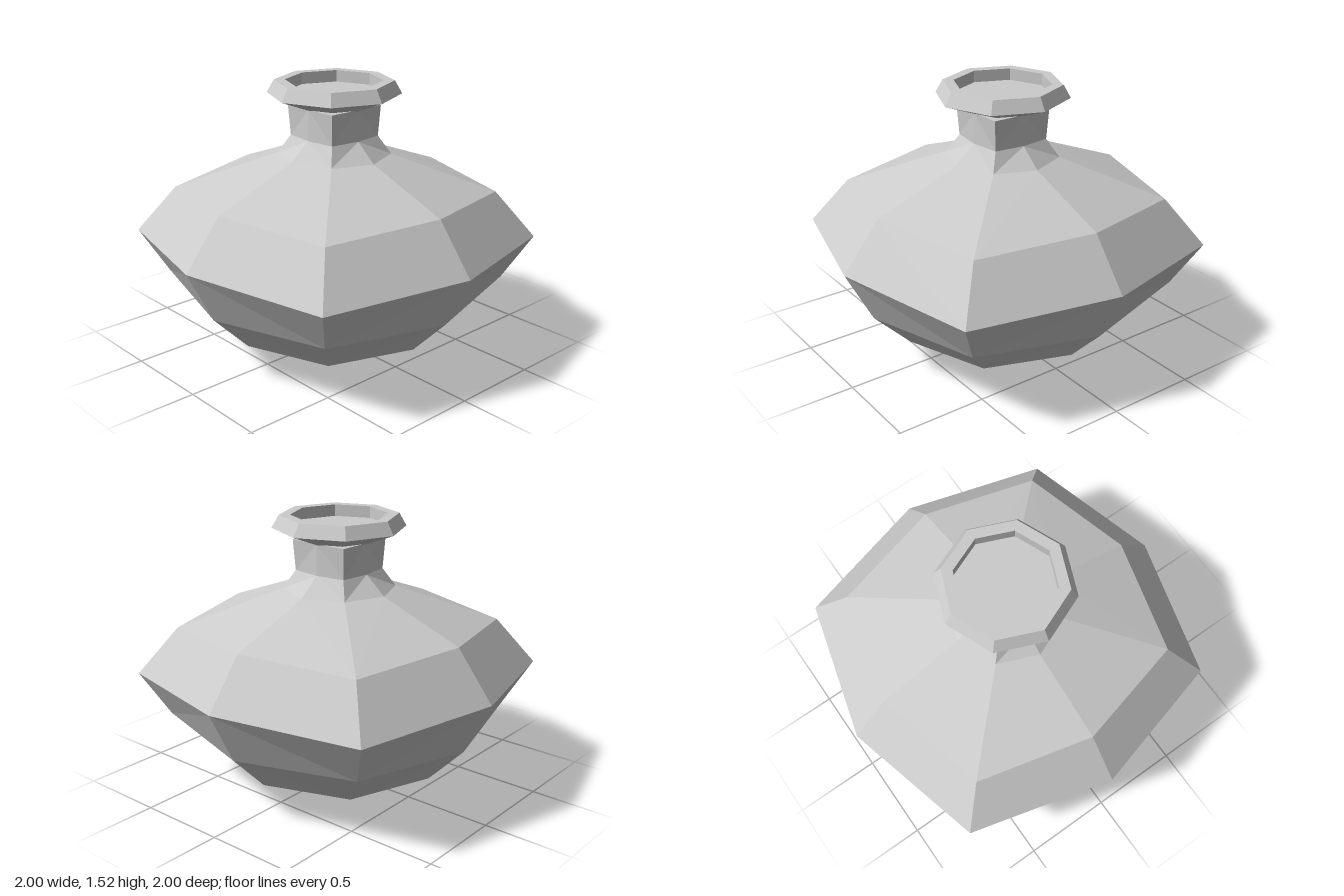
import * as THREE from 'three';

const SIDES = 8;

// One eight-point ring: [radius on the axes, height there, x = z of the corners, height there]
function ringPoints([r, y, c, cy]) {
  return Array.from({ length: SIDES }, (_, j) => {
    const a = (j * Math.PI) / 4;
    const corner = j % 2 === 1;
    const radius = corner ? c * Math.SQRT2 : r;
    return new THREE.Vector3(Math.sin(a) * radius, corner ? cy : y, Math.cos(a) * radius);
  });
}

// Skin the rings from first to last and close both ends
function loft(name, sections, material) {
  const rings = sections.map(ringPoints);
  const points = [];
  const tri = (...p) => points.push(...p);
  for (let i = 0; i < rings.length - 1; i++) {
    for (let j = 0; j < SIDES; j++) {
      const k = (j + 1) % SIDES;
      const [a, b, c, d] = [rings[i][j], rings[i][k], rings[i + 1][k], rings[i + 1][j]];
      // Mirror the split on alternate sides so the facets stay symmetrical
      if (j % 2) { tri(a, b, c); tri(a, c, d); }
      else { tri(a, b, d); tri(b, c, d); }
    }
  }
  const first = rings[0], last = rings[rings.length - 1];
  for (let j = 1; j < SIDES - 1; j++) {
    tri(first[0], first[j + 1], first[j]);
    tri(last[0], last[j], last[j + 1]);
  }
  const geometry = new THREE.BufferGeometry().setFromPoints(points);
  geometry.computeVertexNormals();
  const mesh = new THREE.Mesh(geometry, material);
  mesh.name = name;
  return mesh;
}

export function createModel() {
  const group = new THREE.Group();
  group.name = 'vase';
  const material = new THREE.MeshStandardMaterial({ color: 0xcccccc, flatShading: true });

  // Squarish faceted belly running up into the neck
  group.add(loft('bodyAndNeck', [
    [0.12, 0, 0.09, 0],
    [0.63, 0.155, 0.455, 0.15],
    [0.845, 0.375, 0.67, 0.405],
    [1.0, 0.675, 0.79, 0.65],
    [0.79, 0.94, 0.63, 0.91],
    [0.31, 1.12, 0.22, 1.12],
    [0.19, 1.22, 0.168, 1.22],
    [0.185, 1.39, 0.178, 1.39],
  ], material));

  // Flared octagonal rim with a shallow recess in the top
  const octagon = (r, y) => [r, y, r * Math.SQRT1_2, y];
  group.add(loft('rim', [
    octagon(0.185, 1.385),
    octagon(0.365, 1.455),
    octagon(0.325, 1.525),
    octagon(0.265, 1.525),
    octagon(0.265, 1.46),
  ], material));

  return group;
}
